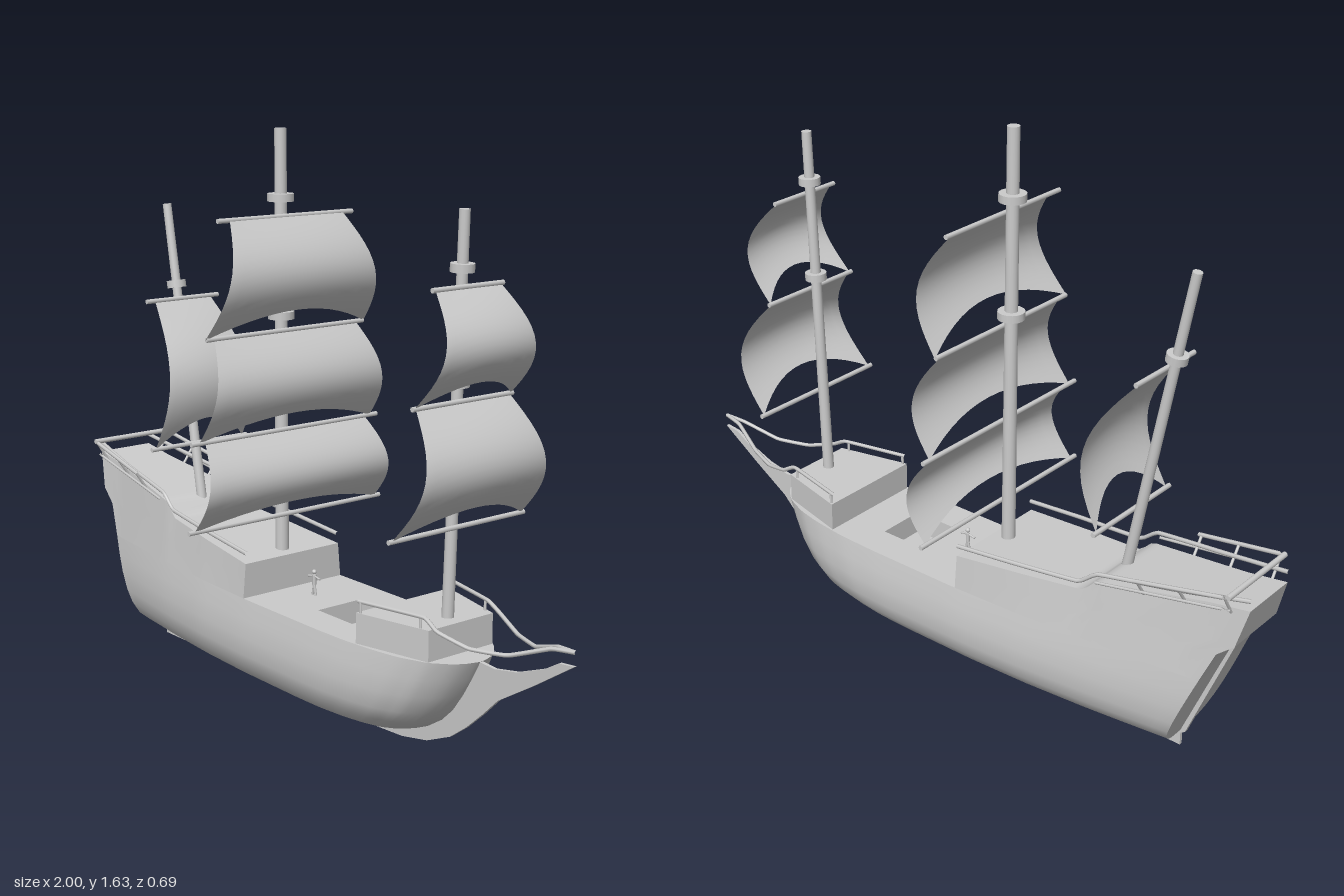
import * as THREE from 'three';
import { toCreasedNormals } from 'three/addons/utils/BufferGeometryUtils.js';

const material = new THREE.MeshStandardMaterial({ color: 0xcccccc });
const thin = new THREE.MeshStandardMaterial({ color: 0xcccccc, side: THREE.DoubleSide });
const lerp = THREE.MathUtils.lerp;
const V = (x, y, z = 0) => new THREE.Vector3(x, y, z);

// linear lookup in a short list of [key, value]
function look(table, k) {
  if (k <= table[0][0]) return table[0][1];
  for (let i = 1; i < table.length; i++) {
    const [a, p] = table[i - 1], [b, q] = table[i];
    if (k <= b) return lerp(p, q, (k - a) / (b - a));
  }
  return table[table.length - 1][1];
}

const BEAM = [[0, .125], [.1, .145], [.2, .163], [.35, .183], [.5, .193], [.7, .194], [.78, .19],
  [.85, .177], [.9, .16], [.95, .126], [.98, .08], [.993, .045], [1, 0]];
const SECTION = [[1, .92], [.8, .97], [.6, 1], [.4, .985], [.25, .92], [.12, .78], [.04, .58], [0, .4], [0, 0]];
const BOW = [[.05, .4], [.07, .46], [.1, .52], [.15, .575], [.2, .612], [.26, .648], [.32, .68]];
const SHEER = [[-1, .57], [-.56, .5], [-.52, .46], [-.11, .42]];
const DECK = .32;
const deckHalf = x => look(BEAM, (x + .88) / 1.56) * .92;

// skin over rings of points, each running from +z top, under, to -z top
function loft(rings, closed, capEnd) {
  const n = rings[0].length, pos = rings.flat().flatMap(p => p.toArray()), idx = [];
  for (let i = 0; i < rings.length - 1; i++)
    for (let j = 0; j < (closed ? n : n - 1); j++) {
      const a = i * n + j, c = i * n + (j + 1) % n;
      idx.push(a, c, a + n, a + n, c, c + n);
    }
  const cap = (o, flip) => {
    for (let j = 0; j < Math.floor(n / 2); j++) {
      const a = o + j, b = a + 1, a2 = o + n - 1 - j, b2 = a2 - 1;
      if (flip) idx.push(a, b, a2, a2, b, b2);
      else idx.push(a, a2, b, a2, b2, b);
    }
  };
  cap(0, false);
  if (capEnd) cap((rings.length - 1) * n, true);
  const g = new THREE.BufferGeometry();
  g.setAttribute('position', new THREE.Float32BufferAttribute(pos, 3));
  g.setIndex(idx);
  return toCreasedNormals(g, .6);
}

function sailGeometry(top, bottom, wTop, wBottom, bulge) {
  const g = new THREE.PlaneGeometry(2, 1, 14, 14), p = g.attributes.position;
  for (let i = 0; i < p.count; i++) {
    const w = p.getX(i), v = (.5 - p.getY(i)) * (1 - .2 * (1 - w * w)); // arched foot
    const belly = Math.sin(Math.PI * v);
    p.setXYZ(i, lerp(top.x, bottom.x, v) + bulge * belly * (1 - .12 * w * w),
      lerp(top.y, bottom.y, v), -w * (lerp(wTop, wBottom, v) + .015 * belly));
  }
  g.computeVertexNormals();
  return g;
}

export function createModel() {
  const ship = new THREE.Group();
  ship.name = 'sailingShip';
  const add = (name, geometry, mat = material, parent = ship) => {
    const m = new THREE.Mesh(geometry, mat);
    m.name = name;
    parent.add(m);
    return m;
  };
  const rod = (name, a, b, r0, r1 = r0, sides = 12) => {
    const d = b.clone().sub(a);
    const m = add(name, new THREE.CylinderGeometry(r1, r0, d.length(), sides));
    m.position.copy(a).addScaledVector(d, .5);
    m.quaternion.setFromUnitVectors(V(0, 1), d.normalize());
    return m;
  };
  const tube = (name, points, r = .006) => add(name, new THREE.TubeGeometry(
    new THREE.CatmullRomCurve3(points, false, 'catmullrom', .15), points.length * 8, r, 6));
  const plate = (name, points, depth) => {
    const g = new THREE.ExtrudeGeometry(new THREE.Shape(points.map(p => new THREE.Vector2(...p))),
      { depth, bevelEnabled: false });
    return add(name, g.translate(0, 0, -depth / 2));
  };

  // lower hull
  const rings = [];
  for (let i = 0; i <= 48; i++) {
    const u = 1 - (1 - i / 48) ** 1.5, side = SECTION.map(([t, f]) => {
      const y = .05 + .27 * t;
      return V(lerp(-.77 - .11 * t, look(BOW, y), u), y, look(BEAM, u) * f);
    });
    rings.push([...side, ...side.slice(0, -1).reverse().map(p => V(p.x, p.y, -p.z))]);
  }
  add('hull', loft(rings, false, false));

  // main deck with hatch opening
  const edge = rings.map(r => new THREE.Vector2(r[0].x, r[0].z));
  const deck = new THREE.Shape([...edge, ...edge.slice(0, -1).reverse().map(p => new THREE.Vector2(p.x, -p.y))]);
  deck.holes.push(new THREE.Path([[.1, -.075], [.25, -.075], [.25, .075], [.1, .075]].map(p => new THREE.Vector2(...p))));
  add('mainDeck', new THREE.ShapeGeometry(deck).rotateX(-Math.PI / 2).translate(0, DECK, 0), thin);
  add('hatchFloor', new THREE.BoxGeometry(.15, .005, .15)).position.set(.175, .25, 0);
  for (const s of [1, -1]) {
    add('hatchWall', new THREE.BoxGeometry(.15, .07, .004)).position.set(.175, .284, s * .077);
    add('hatchWall', new THREE.BoxGeometry(.004, .07, .15)).position.set(.175 + s * .077, .284, 0);
  }

  // raised quarterdeck and stern
  const sternLine = [[0, -.88], [.4, -.92], [.56, -.97], [1, -1]];
  const upper = [];
  for (let i = 0; i <= 44; i++) {
    const u = i / 44, side = [1, .56, .4, 0].map(s => {
      const x = lerp(look(sternLine, s), -.11, u);
      return V(x, DECK + s * (look(SHEER, x) - DECK), deckHalf(x) * lerp(1, lerp(.78, .95, u), s));
    });
    upper.push([...side, ...side.slice().reverse().map(p => V(p.x, p.y, -p.z))]);
  }
  add('quarterdeck', loft(upper, true, true));

  // forecastle
  const fore = new THREE.Shape([[.375, -.166], [.6, -.113], [.6, .113], [.375, .166]].map(p => new THREE.Vector2(...p)));
  add('forecastle', new THREE.ExtrudeGeometry(fore, { depth: .085, bevelEnabled: false })
    .rotateX(-Math.PI / 2).translate(0, DECK, 0));

  // keel, stem and beak in one thin plate, plus the rudder
  plate('keelAndBeak', [[-.77, 0], [.2, .01], [.38, .02], [.48, .04], [.57, .08], [.63, .125], [.69, .18], [.745, .235],
    [.865, .31], [1, .4], [.95, .395], [.9, .365], [.81, .33], [.73, .315], [.66, .32], [.6, .2], [.5, .1], [.36, .055], [-.77, .055]], .01);
  plate('rudder', [[-.77, .04], [-.75, .06], [-.9, .43], [-.935, .43], [-.785, .05]], .012);

  // railings
  for (const s of [1, -1]) {
    const q = (x, y, k = .93) => V(x, y, s * deckHalf(x) * k);
    tube('quarterRail', [q(-.11, .45), q(-.3, .468), q(-.51, .488), q(-.57, .53), q(-.8, .565), V(-1, .6, s * .09)]);
    tube('poopRail', [V(-.96, .615, s * .135), V(-.69, .565, s * .153)]);
    tube('lowerPoopRail', [V(-.96, .575, s * .125), V(-.57, .51, s * .15)], .004);
    for (const x of [-.95, -.82, -.7])
      rod('railPost', V(x, look(SHEER, x) - .01, s * deckHalf(x) * .85), V(x, .615 - (x + .96) * .185, s * lerp(.135, .153, (x + .96) / .27)), .004);
    tube('bowRail', [V(.375, .435, s * .158), V(.58, .435, s * .112), V(.63, .41, s * .112), V(.72, .385, s * .086),
      V(.82, .388, s * .05), V(.93, .428, s * .012), V(1, .435, 0)]);
    for (const x of [.385, .57])
      rod('bowRailPost', V(x, .4, s * (.158 - (x - .385) * .24)), V(x, .435, s * (.158 - (x - .385) * .24)), .004);
  }
  rod('sternRail', V(-.96, .615, -.137), V(-.96, .615, .137), .008);

  // masts with collars, yards [y, half length] and sails [top, bottom, half widths, bulge]
  const rigs = [
    { name: 'mizzen', foot: V(-.565, .48), head: V(-.73, 1.38), r: .014, collars: [1.14], off: .025,
      yards: [[1.1, .13], [.665, .175]], sails: [[1.1, .665, .1, .16, .115]] },
    { name: 'main', foot: V(-.16, .4), head: V(-.16, 1.63), r: .018, collars: [1.44, 1.11], off: .027,
      yards: [[1.39, .235], [1.07, .277], [.785, .332], [.535, .345]],
      sails: [[1.395, 1.07, .195, .28, .095], [1.07, .785, .25, .305, .08], [.785, .535, .285, .325, .08]] },
    { name: 'fore', foot: V(.548, .39), head: V(.585, 1.465), r: .015, collars: [1.32, 1.03], off: .024,
      yards: [[1.275, .12], [.985, .172], [.655, .235]],
      sails: [[1.275, .985, .11, .165, .105], [.985, .655, .16, .225, .11]] },
  ];
  for (const { name, foot, head, r, collars, off, yards, sails } of rigs) {
    const at = (y, dx = 0) => V(lerp(foot.x, head.x, (y - foot.y) / (head.y - foot.y)) + dx, y);
    rod(name + 'Mast', foot, head, r * 1.1, r * .95, 16);
    for (const y of collars) rod(name + 'MastCollar', at(y - .011), at(y + .011), r * 2.1, r * 2.1, 16);
    for (const [y, half] of yards)
      rod(name + 'Yard', at(y, off).setZ(-half), at(y, off).setZ(half), .007, .007, 8);
    for (const [y0, y1, w0, w1, bulge] of sails)
      add(name + 'Sail', sailGeometry(at(y0, off), at(y1, off), w0, w1, bulge), thin);
  }

  // deckhand
  for (const s of [1, -1]) {
    rod('deckhandLeg', V(-.01 + s * .007, DECK, 0), V(-.01, .357, 0), .004, .004, 6);
    rod('deckhandArm', V(-.01, .377, 0), V(-.01 + s * .026, .372, 0), .003, .003, 6);
  }
  rod('deckhandBody', V(-.01, .352, 0), V(-.01, .38, 0), .006, .006, 8);
  add('deckhandHead', new THREE.SphereGeometry(.007, 8, 6)).position.set(-.01, .389, 0);

  return ship;
}
